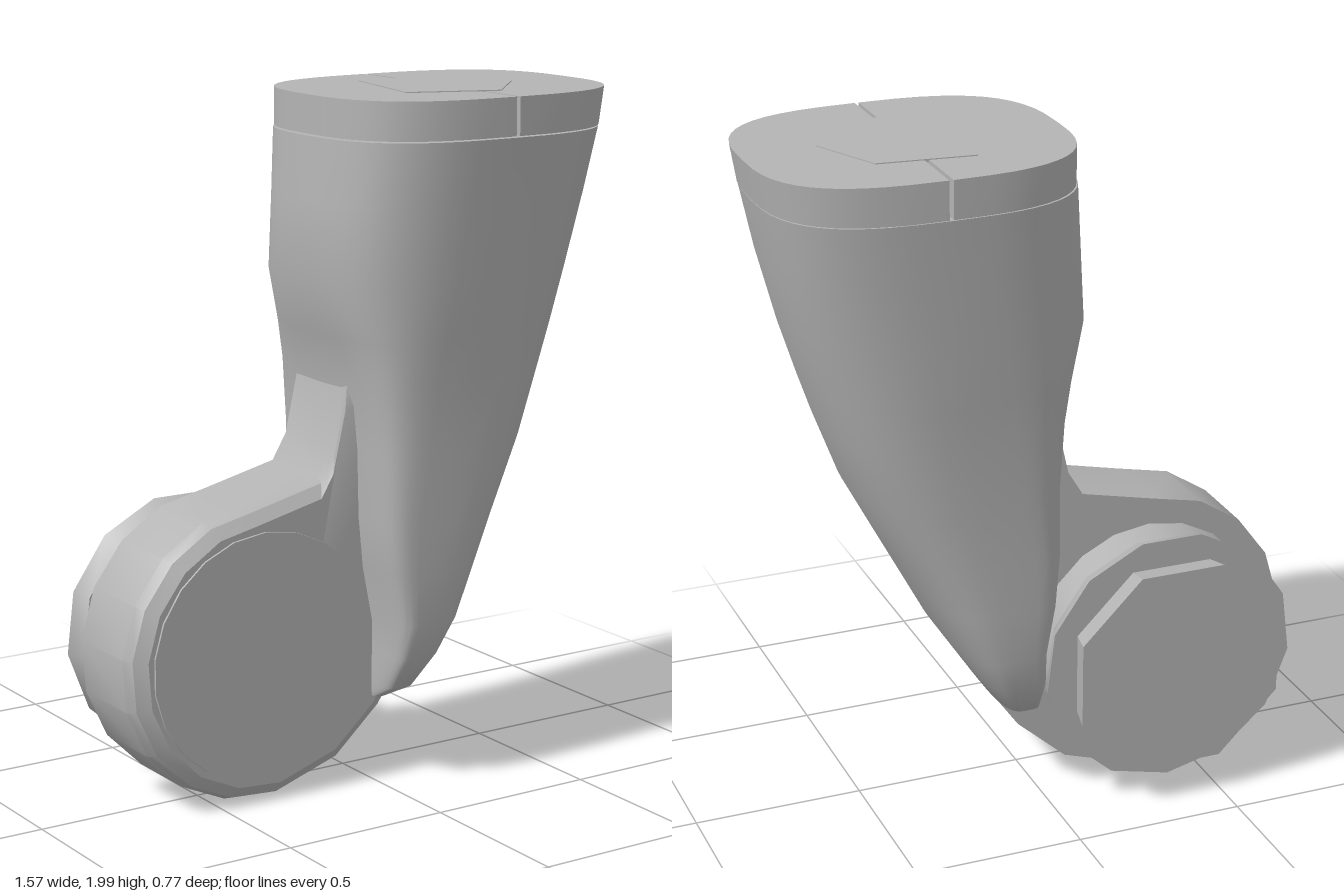
import * as THREE from 'three';
import { toCreasedNormals } from 'three/addons/utils/BufferGeometryUtils.js';

// Skin a stack of equal-length rings and close both ends around given centres.
function loft(rings, startCentre, endCentre, crease = 0.6) {
  const n = rings[0].length;
  const pos = [], idx = [];
  rings.forEach(r => r.forEach(p => pos.push(...p)));
  for (let k = 0; k < rings.length - 1; k++) {
    for (let i = 0; i < n; i++) {
      const j = (i + 1) % n, a = k * n, b = a + n;
      idx.push(a + i, a + j, b + j, a + i, b + j, b + i);
    }
  }
  const s = rings.length * n, last = s - n;
  pos.push(...startCentre, ...endCentre);
  for (let i = 0; i < n; i++) {
    const j = (i + 1) % n;
    idx.push(s, j, i, s + 1, last + i, last + j);
  }
  const g = new THREE.BufferGeometry();
  g.setAttribute('position', new THREE.Float32BufferAttribute(pos, 3));
  g.setIndex(idx);
  return toCreasedNormals(g, crease);
}

// Rounded-square section; the left side may be squarer than the right.
function section([y, xl, xr, zf, zb, nl, nr], count = 48) {
  const cx = (xl + xr) / 2, a = (xr - xl) / 2, ring = [];
  for (let i = 0; i < count; i++) {
    const t = (i / count) * Math.PI * 2, c = Math.cos(t), s = Math.sin(t);
    const e = 2 / (c < 0 ? nl : nr);
    ring.push([
      cx + a * Math.sign(c) * Math.abs(c) ** e, y,
      -Math.sign(s) * Math.abs(s) ** e * (s < 0 ? zf : zb)]);
  }
  return ring;
}

export function createModel() {
  const model = new THREE.Group();
  const grey = new THREE.MeshStandardMaterial({ color: 0xb4b4b4 });
  grey.name = 'plain grey';
  const add = (name, geometry) => {
    const mesh = new THREE.Mesh(geometry, grey);
    mesh.name = name;
    model.add(mesh);
    return mesh;
  };

  // Upper arm: y, left x, right x, front depth, back depth, left and right squareness
  const arm = [
    [0.26, 0.00, 0.05, 0.17, 0.14, 5, 3],
    [0.30, 0.00, 0.115, 0.24, 0.22, 6, 3],
    [0.40, 0.00, 0.18, 0.295, 0.28, 7, 3],
    [0.50, 0.00, 0.245, 0.315, 0.295, 7, 3],
    [0.65, -0.03, 0.325, 0.32, 0.30, 7, 2.9],
    [0.80, -0.045, 0.405, 0.318, 0.30, 7, 2.8],
    [1.00, -0.05, 0.51, 0.315, 0.305, 6, 2.7],
    [1.20, -0.07, 0.585, 0.32, 0.315, 5, 2.7],
    [1.32, -0.10, 0.625, 0.33, 0.325, 4, 2.7],
    [1.48, -0.153, 0.675, 0.345, 0.34, 3, 2.7],
    [1.70, -0.142, 0.73, 0.362, 0.355, 2.9, 2.8],
    [1.883, -0.13, 0.765, 0.383, 0.37, 2.9, 2.9],
  ];
  add('upperArm', loft(arm.map(r => section(r)), [0.02, 0.26, 0], [0.32, 1.883, 0]));

  // Split end cap: two halves with a narrow slot between them
  const capRing = y => section([y, -0.125, 0.785, 0.384, 0.376, 2.9, 2.9]);
  const slot = 0.006;
  for (const side of [-1, 1]) {
    const clip = y => capRing(y).map(([x, yy, z]) => {
      const d = Math.max(side * (x - 0.33), slot);
      return [0.33 + side * d, yy, z];
    });
    const lower = clip(1.887).map(([x, y, z]) => [x - (x > 0.5 ? 0.018 : 0), y, z]);
    const cx = 0.33 + side * 0.2;
    add(side < 0 ? 'rightCapHalf' : 'leftCapHalf',
      loft([lower, clip(1.997)], [cx, 1.887, 0], [cx, 1.997, 0]));
  }

  // Five-sided plate on the end cap
  const plate = new THREE.Shape(
    [[0.12, -0.14], [0.38, -0.235], [0.565, -0.035], [0.47, 0.175], [0.19, 0.205]]
      .map(p => new THREE.Vector2(...p)));
  const plateGeometry = new THREE.ExtrudeGeometry(plate, { depth: 0.008, bevelEnabled: false });
  plateGeometry.rotateX(-Math.PI / 2).translate(0, 1.992, 0);
  add('capPlate', plateGeometry);

  // Elbow drum with a web that runs up into the arm
  const outline = [
    [-0.10, 0.08], [0.05, 0.215], [0.11, 0.30], [0.16, 0.60], [0.06, 1.0], [0.01, 1.22],
    [-0.06, 1.2], [-0.105, 1.0], [-0.15, 0.925]];
  for (let i = 0; i <= 9; i++) {
    const t = THREE.MathUtils.degToRad(92 + i * 20.5);
    outline.push([-0.36 + 0.43 * Math.cos(t), 0.44 + 0.433 * Math.sin(t)]);
  }
  const elbowRing = (z, s) => outline.map(([x, y]) =>
    [-0.33 + (x + 0.33) * s, 0.44 + (y - 0.44) * s, z]);
  add('elbowDrum', loft(
    [elbowRing(-0.142, 1), elbowRing(0.09, 1), elbowRing(0.125, 0.97), elbowRing(0.15, 0.89)],
    [-0.2, 0.5, -0.142], [-0.21, 0.5, 0.15], 0.5));

  // Round joint parts stacked along z
  const disc = (name, rFront, rBack, zFront, zBack, sides, turn = 0) => {
    const g = new THREE.CylinderGeometry(rFront, rBack, zFront - zBack, sides);
    g.rotateY(turn).rotateX(Math.PI / 2).translate(-0.36, 0.44, (zFront + zBack) / 2);
    return add(name, toCreasedNormals(g, 0.5));
  };
  disc('frontDisc', 0.362, 0.365, 0.156, 0.13, 22);
  disc('jointNeck', 0.355, 0.355, -0.13, -0.255, 20);
  disc('jointFlange', 0.365, 0.388, -0.25, -0.308, 13);
  disc('jointEndCap', 0.315, 0.335, -0.30, -0.39, 8, Math.PI / 8);
  return model;
}
